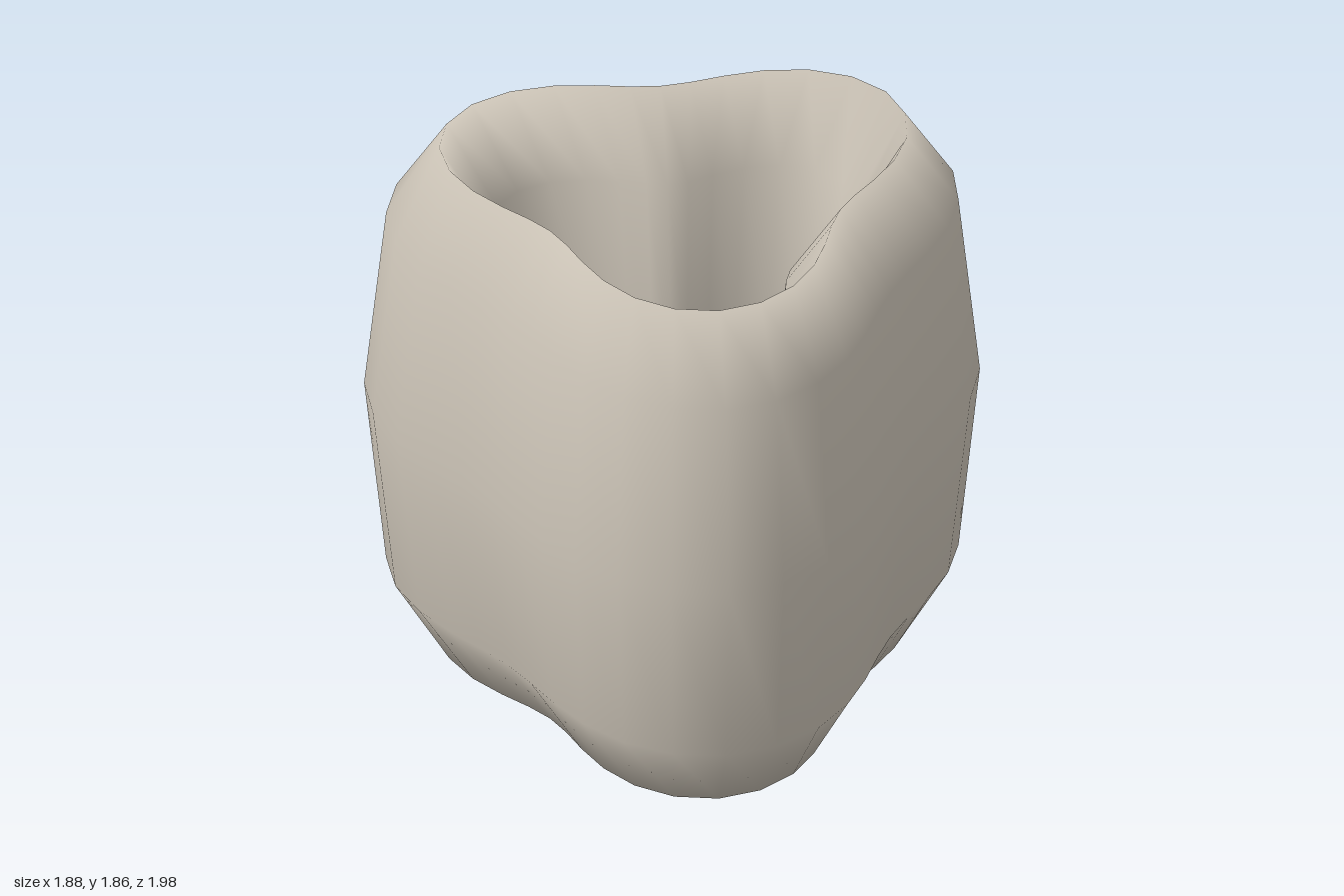
import * as THREE from 'three';

// Tall closed ring: an eight-sided elliptical section swept round a three-lobed path
function lobedRingGeometry(steps = 36, sides = 8) {
  const meanRadius = 0.685, lobe = 0.14, halfWidth = 0.247, halfHeight = 0.929, centreX = -0.134;
  const positions = [], indices = [];
  for (let i = 0; i < steps; i++) {
    const a = (i / steps) * Math.PI * 2;
    const path = meanRadius + lobe * Math.cos(3 * a);
    for (let j = 0; j < sides; j++) {
      const b = (j / sides) * Math.PI * 2;
      const r = path + halfWidth * Math.cos(b);
      positions.push(centreX + r * Math.cos(a), halfHeight * (1 + Math.sin(b)), r * Math.sin(a));
      // Wrap both ways so the surface and its normals have no seam
      const i2 = (i + 1) % steps, j2 = (j + 1) % sides;
      const p = i * sides + j, q = i * sides + j2, s = i2 * sides + j2, t = i2 * sides + j;
      indices.push(p, q, s, p, s, t);
    }
  }
  const geometry = new THREE.BufferGeometry();
  geometry.setAttribute('position', new THREE.Float32BufferAttribute(positions, 3));
  geometry.setIndex(indices);
  geometry.computeVertexNormals();
  return geometry;
}

export function createModel() {
  const model = new THREE.Group();
  model.name = 'lobedRingModel';
  const stone = new THREE.MeshStandardMaterial({ color: 0xcdc5b8 });
  stone.name = 'warm stone';
  const ring = new THREE.Mesh(lobedRingGeometry(), stone);
  ring.name = 'lobedRing';
  model.add(ring);
  return model;
}
